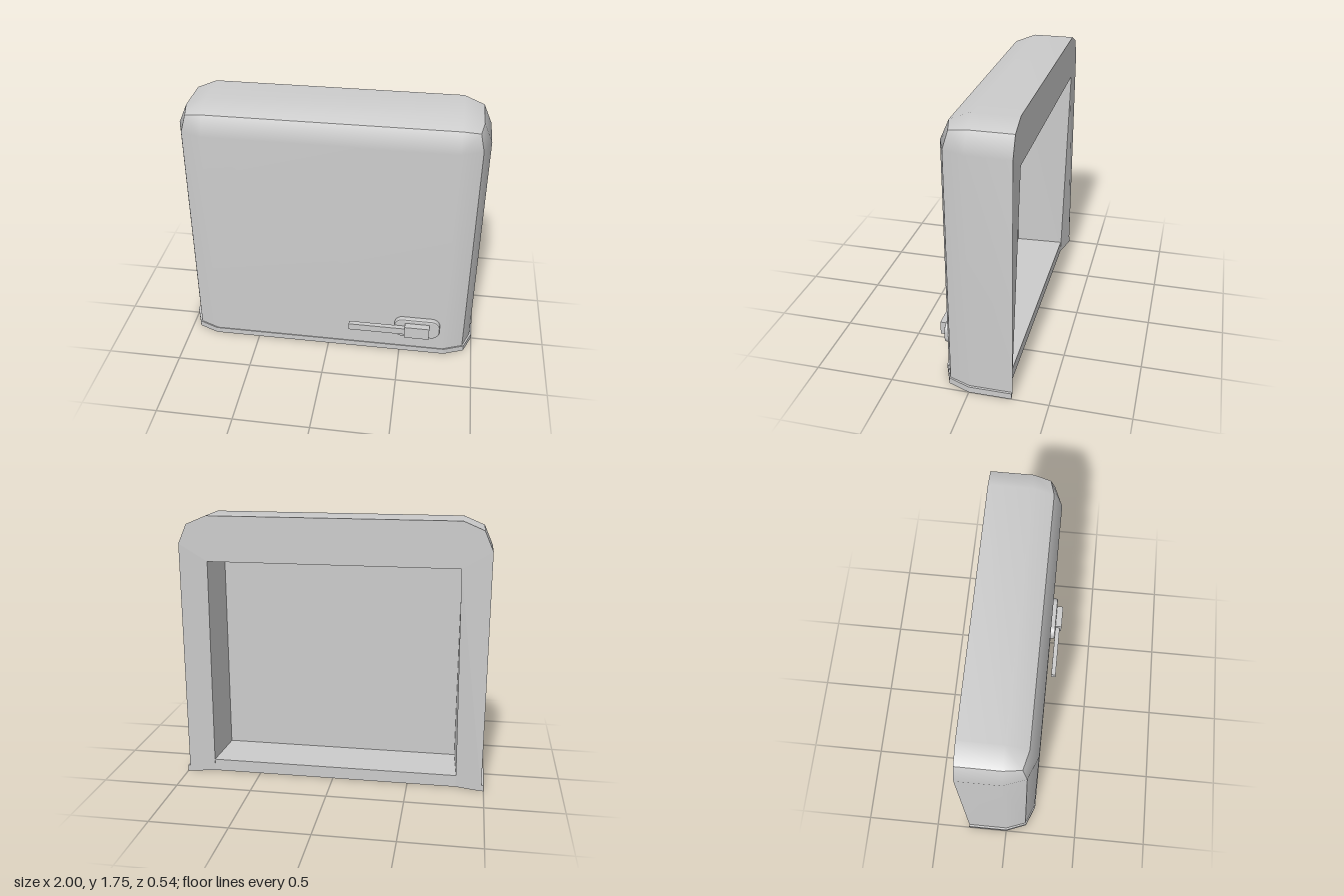
import * as THREE from 'three';
import { mergeVertices } from 'three/addons/utils/BufferGeometryUtils.js';

const grey = new THREE.MeshStandardMaterial({ color: 0xcccccc });

// Mirrors the right half of an upside-down U into an eight-point ring
const ring = (half) => [...half, ...half.map(([x, y, z]) => [-x, y, z]).reverse()];

// Outline of the panel, from the right foot over the top to the left foot
const outline = (z) => ring([[0.985, 0, z], [0.985, 1.57, z], [0.93, 1.695, z], [0.8, 1.75, z]]);
const recess = (z) => ring([[0.8, 0, z], [0.8, 1.46, z], [0.8, 1.46, z], [0.8, 1.46, z]]);

const floorRing = recess(0.11);
const mouthRing = recess(-0.27);
mouthRing[0] = [0.82, 0, -0.23];
mouthRing[7] = [-0.82, 0, -0.23];
const bevelRing = ring([[0.935, 0, 0.135], [0.935, 1.57, 0.135], [0.91, 1.675, 0.107], [0.8, 1.695, 0.135]]);
const frontRing = ring([[0.8, 0, 0.19], [0.8, 1.57, 0.19], [0.8, 1.57, 0.19], [0.8, 1.57, 0.19]]);

// Quads between successive rings, over the points from..to
function skin(rings, from = 0, to = 7) {
  const quads = [];
  for (let i = 0; i + 1 < rings.length; i++) {
    for (let j = from; j < to; j++) {
      quads.push([rings[i][j], rings[i][j + 1], rings[i + 1][j + 1], rings[i + 1][j]]);
    }
  }
  return quads;
}

function quadMesh(name, quads, smooth) {
  const positions = [];
  const same = (a, b) => a.every((v, k) => v === b[k]);
  for (const [a, b, c, d] of quads) {
    for (const [p, q, r] of [[a, b, c], [a, c, d]]) {
      if (!same(p, q) && !same(q, r) && !same(p, r)) positions.push(...p, ...q, ...r);
    }
  }
  let geometry = new THREE.BufferGeometry();
  geometry.setAttribute('position', new THREE.Float32BufferAttribute(positions, 3));
  if (smooth) geometry = mergeVertices(geometry);
  geometry.computeVertexNormals();
  const mesh = new THREE.Mesh(geometry, grey);
  mesh.name = name;
  return mesh;
}

function box(name, [x0, x1], [y0, y1], [z0, z1]) {
  const mesh = new THREE.Mesh(new THREE.BoxGeometry(x1 - x0, y1 - y0, z1 - z0), grey);
  mesh.position.set((x0 + x1) / 2, (y0 + y1) / 2, (z0 + z1) / 2);
  mesh.name = name;
  return mesh;
}

function makeShell() {
  const shell = new THREE.Group();
  shell.name = 'shell';
  const sides = [outline(-0.27), outline(0), bevelRing];
  const pick = (r) => [r[0], r[1], r[6], r[7]];
  shell.add(
    quadMesh('leftSide', skin(sides, 0, 2), true),
    quadMesh('top', skin(sides, 2, 5), true),
    quadMesh('rightSide', skin(sides, 5, 7), true),
    quadMesh('frontPanel', [...skin([bevelRing, frontRing]), pick(frontRing)], true),
    quadMesh('backFrame', skin([mouthRing, outline(-0.27)]), false),
    quadMesh('recess', [...skin([floorRing, mouthRing]), pick(floorRing).reverse()], false),
    box('recessSill', [-0.82, 0.82], [0, 0.08], [-0.23, 0.11]),
  );
  return shell;
}

// Slightly wider lip around the foot, set in along the back
function makeLip() {
  const half = [[0.82, -0.23], [1, -0.27], [1, 0], [0.945, 0.14], [0.81, 0.195]];
  const plan = [...half, ...half.map(([x, z]) => [-x, z]).reverse()];
  const shape = new THREE.Shape(plan.map(([x, z]) => new THREE.Vector2(x, -z)));
  const geometry = new THREE.ExtrudeGeometry(shape, { depth: 0.04, bevelEnabled: false });
  geometry.rotateX(-Math.PI / 2);
  const lip = new THREE.Mesh(geometry, grey);
  lip.name = 'bottomLip';
  return lip;
}

// Rounded plate with a pivot block and a lever
function makeHandle() {
  const handle = new THREE.Group();
  handle.name = 'handle';
  const bevel = 0.01;
  const w = 0.155 - bevel, h = 0.073 - bevel, r = 0.045;
  const shape = new THREE.Shape();
  shape.moveTo(-w + r, -h);
  shape.lineTo(w - r, -h);
  shape.absarc(w - r, -h + r, r, -Math.PI / 2, 0);
  shape.absarc(w - r, h - r, r, 0, Math.PI / 2);
  shape.absarc(-w + r, h - r, r, Math.PI / 2, Math.PI);
  shape.absarc(-w + r, -h + r, r, Math.PI, Math.PI * 1.5);
  const plate = new THREE.Mesh(new THREE.ExtrudeGeometry(shape, {
    depth: 0.035, bevelThickness: bevel, bevelSize: bevel, bevelSegments: 2, curveSegments: 5,
  }), grey);
  plate.position.set(0.615, 0.223, 0.18);
  plate.name = 'handlePlate';
  handle.add(
    plate,
    box('pivotBlock', [0.533, 0.7], [0.18, 0.268], [0.21, 0.27]),
    box('lever', [0.15, 0.54], [0.196, 0.244], [0.225, 0.257]),
  );
  return handle;
}

export function createModel() {
  const model = new THREE.Group();
  model.name = 'hatchPanel';
  model.add(makeShell(), makeLip(), makeHandle());
  return model;
}
